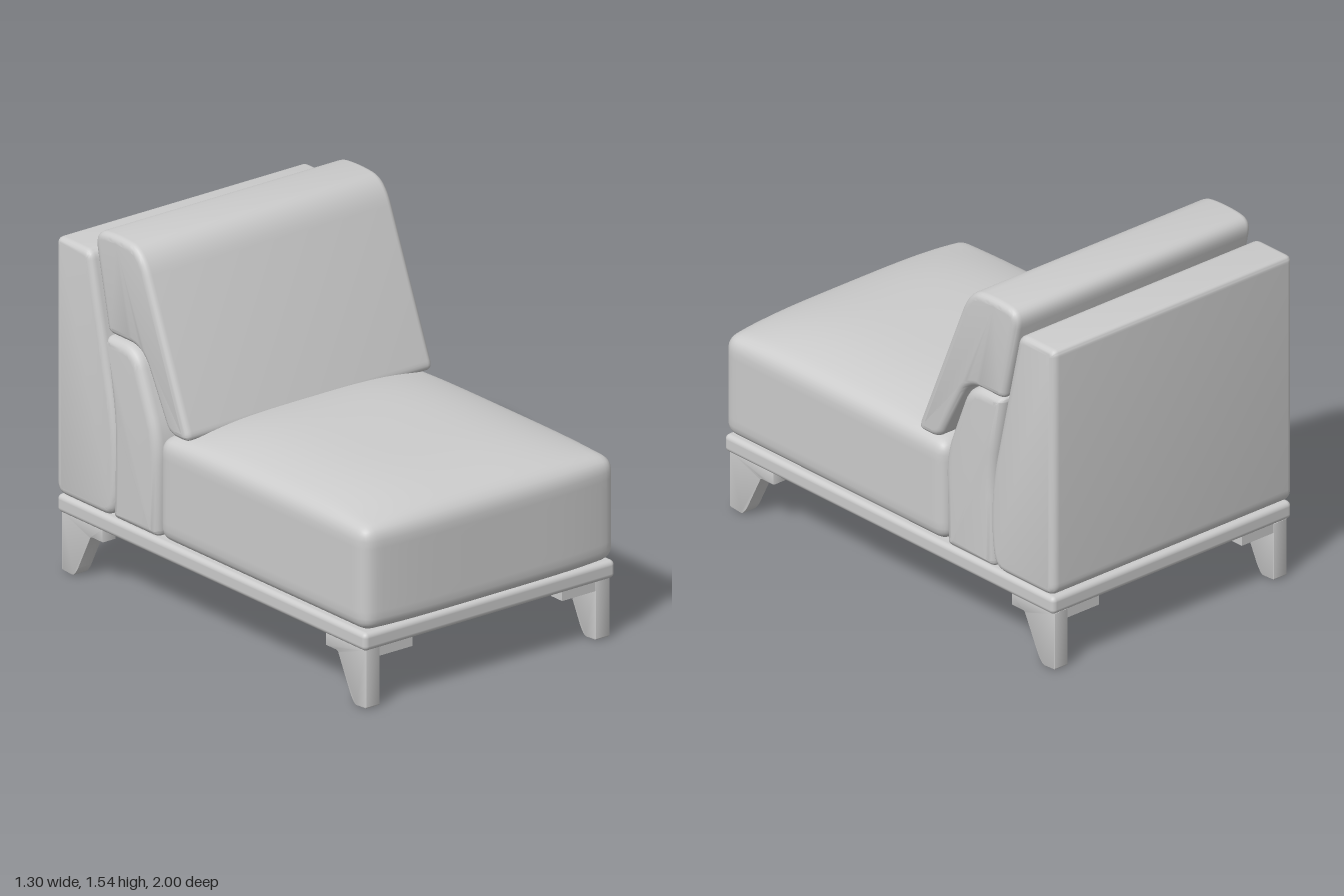
import * as THREE from 'three';
import { mergeVertices, toCreasedNormals } from 'three/addons/utils/BufferGeometryUtils.js';
import { RoundedBoxGeometry } from 'three/addons/geometries/RoundedBoxGeometry.js';

const material = new THREE.MeshStandardMaterial({ color: 0xcccccc });

function addMesh(parent, name, geometry) {
  const mesh = new THREE.Mesh(geometry, material);
  mesh.name = name;
  parent.add(mesh);
  return mesh;
}

// Closed side outline from [z, y, cornerRadius] points
function roundedOutline(points) {
  const shape = new THREE.Shape();
  const n = points.length;
  points.forEach(([z, y, r], i) => {
    const corner = new THREE.Vector2(z, y);
    const toward = (p) => {
      const d = new THREE.Vector2(p[0], p[1]).sub(corner);
      return d.setLength(Math.min(r, d.length() * 0.48)).add(corner);
    };
    const a = toward(points[(i + n - 1) % n]);
    const b = toward(points[(i + 1) % n]);
    if (i === 0) shape.moveTo(a.x, a.y);
    else shape.lineTo(a.x, a.y);
    if (r > 0) shape.quadraticCurveTo(corner.x, corner.y, b.x, b.y);
  });
  shape.closePath();
  return shape;
}

// Side outline swept across the width, with soft edges at both ends
function sweepAcross(points, width, bevel, segments = 5) {
  const geometry = new THREE.ExtrudeGeometry(roundedOutline(points), {
    depth: width - 2 * bevel, curveSegments: 8,
    bevelEnabled: true, bevelThickness: bevel, bevelSize: bevel,
    bevelOffset: -bevel, bevelSegments: segments,
  });
  geometry.translate(0, 0, -width / 2 + bevel);
  geometry.rotateY(-Math.PI / 2);
  return toCreasedNormals(geometry, 0.6);
}

// Soft box whose top is crowned and whose front bulges slightly
function seatGeometry() {
  const half = new THREE.Vector3(0.65, 0.222, 0.66);
  const radius = 0.06;
  const inner = half.clone().subScalar(radius);
  let geometry = new THREE.BoxGeometry(2, 2, 2, 32, 16, 32);
  geometry.deleteAttribute('uv');
  geometry.deleteAttribute('normal');
  geometry = mergeVertices(geometry);
  const pos = geometry.attributes.position;
  const v = new THREE.Vector3();
  const core = new THREE.Vector3();
  const spread = (t) => Math.sign(t) * (1 - (1 - Math.abs(t)) ** 2);
  for (let i = 0; i < pos.count; i++) {
    v.fromBufferAttribute(pos, i);
    v.set(spread(v.x), spread(v.y), spread(v.z)).multiply(half);
    core.copy(v).clamp(inner.clone().negate(), inner);
    v.sub(core).setLength(radius).add(core);
    const u = Math.abs(v.x / half.x);
    const w = Math.abs(v.z / half.z);
    const lift = ((v.y + half.y) / (2 * half.y)) ** 2;
    v.y += 0.081 * lift * (1 - u ** 3.5) * (1 - w ** 4);
    if (v.z > 0) v.z += 0.03 * (1 - u ** 4) * (v.z / half.z) ** 2;
    pos.setXYZ(i, v.x, v.y + 0.335 + half.y, v.z + 0.31);
  }
  geometry.computeVertexNormals();
  return geometry;
}

// Corner leg: tapered foot with one arm along each rail; outer corner at origin
function createLeg(name, sideX, sideZ, x, z) {
  const leg = new THREE.Group();
  leg.name = name;
  const outline = [
    [0, 0.005, 0.008], [-0.075, 0, 0.015], [-0.1, 0.03, 0.02], [-0.185, 0.2, 0.01],
    [-0.26, 0.2, 0], [-0.26, 0.258, 0], [0, 0.258, 0],
  ].map(([pz, y, r]) => [pz * sideZ, y, r]);
  const foot = addMesh(leg, 'foot', sweepAcross(outline, 0.07, 0.004, 2));
  foot.position.x = -0.035 * sideX;
  const arm = addMesh(leg, 'crossArm', new THREE.BoxGeometry(0.2, 0.043, 0.07));
  arm.position.set(-0.14 * sideX, 0.2365, -0.04 * sideZ);
  leg.position.set(x * sideX, 0, z);
  return leg;
}

export function createModel() {
  const model = new THREE.Group();
  model.name = 'armlessChair';

  // Base platform
  const base = addMesh(model, 'basePlatform', new RoundedBoxGeometry(1.29, 0.078, 1.965, 4, 0.022));
  base.position.set(0, 0.295, -0.0125);

  // Seat cushion
  addMesh(model, 'seatCushion', seatGeometry());

  // Upright rear panel
  addMesh(model, 'backPanel', sweepAcross([
    [-0.645, 0.335, 0.06], [-0.615, 0.45, 0.1], [-0.615, 0.7, 0.15], [-0.69, 1.03, 0.15],
    [-0.785, 1.44, 0.04], [-1, 1.44, 0.03], [-1, 0.335, 0.06],
  ], 1.29, 0.03));

  // Wedge between seat and rear panel
  addMesh(model, 'backSupport', sweepAcross([
    [-0.355, 0.335, 0.03], [-0.345, 0.75, 0.1], [-0.49, 1.11, 0.09],
    [-0.69, 1.11, 0.03], [-0.63, 0.75, 0.1], [-0.64, 0.335, 0.03],
  ], 1.3, 0.04));

  // Leaning back cushion, notched to rest on the wedge
  const cushion = addMesh(model, 'backCushion', sweepAcross([
    [-0.175, 0.79, 0.05], [-0.31, 0.79, 0.05], [-0.48, 1.11, 0.08],
    [-0.695, 1.11, 0.03], [-0.79, 1.53, 0.08], [-0.64, 1.545, 0.08], [-0.485, 1.53, 0.11],
  ], 1.27, 0.03));
  cushion.position.x = 0.01;

  // Four corner legs
  for (const sideX of [1, -1]) {
    const side = sideX > 0 ? 'Left' : 'Right';
    model.add(createLeg('front' + side + 'Leg', sideX, 1, 0.625, 0.955));
    model.add(createLeg('back' + side + 'Leg', sideX, -1, 0.625, -0.985));
  }
  return model;
}
